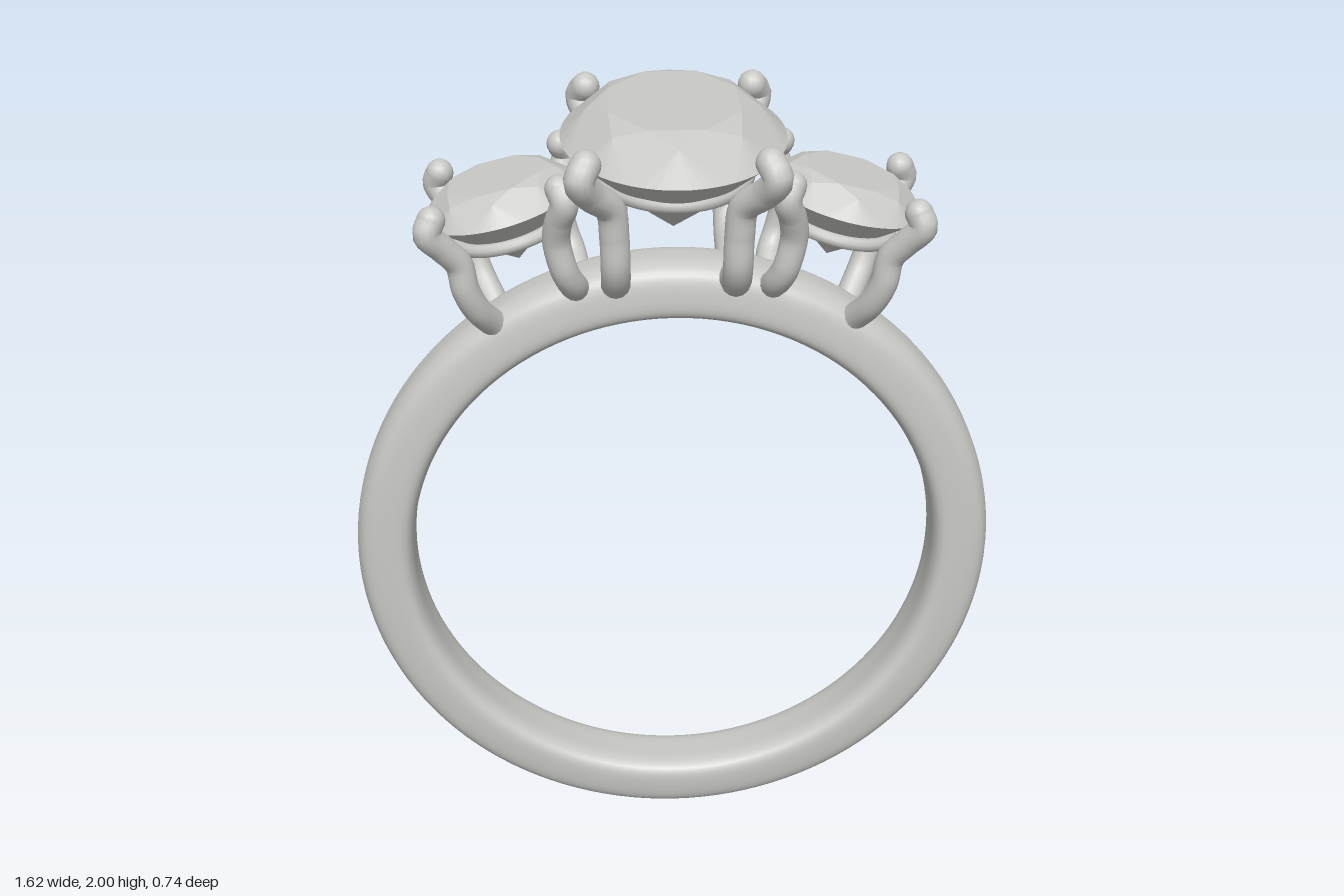
import * as THREE from 'three';

const metal = new THREE.MeshStandardMaterial({ color: 0xc8c8c4 });
metal.name = 'polished metal';
const gem = new THREE.MeshStandardMaterial({ color: 0xc9c9c6, flatShading: true });
gem.name = 'cut stone';

function add(parent, name, geometry, material) {
  const mesh = new THREE.Mesh(geometry, material);
  mesh.name = name;
  parent.add(mesh);
  return mesh;
}

// D-shaped band, slightly wider at the top than at the bottom
function bandGeometry() {
  const half = [[0.666, 0], [0.668, 0.055], [0.688, 0.086], [0.735, 0.088], [0.785, 0.076], [0.807, 0.042], [0.811, 0]];
  const profile = half.map(([r, w]) => new THREE.Vector2(r, -w));
  for (let i = half.length - 2; i >= 0; i--) profile.push(new THREE.Vector2(half[i][0], half[i][1]));
  const geo = new THREE.LatheGeometry(new THREE.SplineCurve(profile).getPoints(48), 128);
  geo.rotateX(Math.PI / 2);
  const p = geo.attributes.position;
  for (let i = 0; i < p.count; i++) p.setZ(i, p.getZ(i) * (0.985 + 0.085 * p.getY(i)));
  geo.translate(0, 0.811, 0);
  geo.computeBoundingSphere();
  return geo;
}

// Eight-fold brilliant cut on an oval, with the girdle at y = 0
function stoneGeometry(rx, rz, crown, depth) {
  const out = [];
  const at = (step, r, y) => {
    const a = step * Math.PI / 4;
    return new THREE.Vector3(rx * r * Math.cos(a), y, rz * r * Math.sin(a));
  };
  const tri = (a, b, c) => {
    const n = b.clone().sub(a).cross(c.clone().sub(a));
    const outward = n.dot(a.clone().add(b).add(c)) > 0;
    for (const v of outward ? [a, b, c] : [a, c, b]) out.push(v.x, v.y, v.z);
  };
  const table = k => at(k + 0.5, 0.62, crown);
  const star = k => at(k, 0.77, crown * 0.76);
  const lower = k => at(k, 0.3, -depth * 0.72);
  const girdle = s => at(s, 1, 0);
  const centre = new THREE.Vector3(0, crown, 0);
  const culet = new THREE.Vector3(0, -depth, 0);
  for (let k = 0; k < 8; k++) {
    tri(centre, table(k), table(k + 1));
    tri(star(k), table(k - 1), table(k));
    tri(table(k), star(k), girdle(k + 0.5));
    tri(table(k), girdle(k + 0.5), star(k + 1));
    tri(culet, lower(k), girdle(k + 0.5));
    tri(culet, girdle(k + 0.5), lower(k + 1));
    // Narrow facets that meet the rounded girdle
    for (let j = -4; j < 4; j++) {
      const a = girdle(k + j / 8), b = girdle(k + (j + 1) / 8);
      tri(star(k), a, b);
      tri(lower(k), a, b);
    }
  }
  const geo = new THREE.BufferGeometry();
  geo.setAttribute('position', new THREE.Float32BufferAttribute(out, 3));
  geo.computeVertexNormals();
  return geo;
}

// Oval support wire below a stone
function railGeometry(rx, rz, radius) {
  const pts = [];
  for (let i = 0; i < 24; i++) {
    const a = i * Math.PI / 12;
    pts.push(new THREE.Vector3(rx * Math.cos(a), 0, rz * Math.sin(a)));
  }
  return new THREE.TubeGeometry(new THREE.CatmullRomCurve3(pts, true), 64, radius, 10, true);
}

// Round-ended claw following a path, mirrored by the signs sx and sz
function addProng(parent, name, path, radius, sx, sz) {
  const prong = new THREE.Group();
  prong.name = name;
  const pts = path.map(([x, y, z]) => new THREE.Vector3(x * sx, y, z * sz));
  add(prong, 'claw', new THREE.TubeGeometry(new THREE.CatmullRomCurve3(pts), 40, radius, 14), metal);
  for (const [end, label] of [[pts[0], 'clawTip'], [pts[pts.length - 1], 'clawFoot']]) {
    add(prong, label, new THREE.SphereGeometry(radius, 14, 10), metal).position.copy(end);
  }
  parent.add(prong);
}

const CENTRE_PRONG = [[0.203, 1.945, 0.275], [0.218, 1.915, 0.297], [0.195, 1.87, 0.262], [0.15, 1.82, 0.217],
  [0.142, 1.75, 0.208], [0.14, 1.67, 0.203], [0.14, 1.615, 0.16], [0.14, 1.585, 0.06]];
const OUTER_PRONG = [[0.557, 1.775, 0.155], [0.568, 1.745, 0.165], [0.535, 1.70, 0.145], [0.502, 1.655, 0.127],
  [0.49, 1.59, 0.125], [0.467, 1.53, 0.105], [0.435, 1.475, 0.06]];
const INNER_PRONG = [[0.265, 1.845, 0.15], [0.253, 1.815, 0.165], [0.268, 1.765, 0.145], [0.275, 1.71, 0.127],
  [0.258, 1.63, 0.122], [0.242, 1.59, 0.10], [0.232, 1.56, 0.06]];

export function createModel() {
  const ring = new THREE.Group();
  ring.name = 'threeStoneRing';
  add(ring, 'band', bandGeometry(), metal);

  // Large oval stone in the middle
  const centre = new THREE.Group();
  centre.name = 'centreSetting';
  add(centre, 'centreStone', stoneGeometry(0.263, 0.37, 0.08, 0.23), gem).position.y = 1.92;
  add(centre, 'centreRail', railGeometry(0.175, 0.24, 0.018), metal).position.y = 1.835;
  for (const sx of [1, -1]) for (const sz of [1, -1]) addProng(centre, 'centreProng', CENTRE_PRONG, 0.035, sx, sz);
  ring.add(centre);

  // Smaller round stones leaning outwards on each side
  for (const s of [1, -1]) {
    const side = new THREE.Group();
    side.name = s > 0 ? 'leftSetting' : 'rightSetting';
    const head = new THREE.Group();
    head.name = 'sideHead';
    head.position.set(s * 0.405, 1.765, 0);
    head.rotation.z = -s * 0.245;
    add(head, 'sideStone', stoneGeometry(0.192, 0.192, 0.058, 0.155), gem);
    add(head, 'sideRail', railGeometry(0.132, 0.132, 0.016), metal).position.y = -0.07;
    side.add(head);
    for (const sz of [1, -1]) {
      addProng(side, 'outerProng', OUTER_PRONG, 0.033, s, sz);
      addProng(side, 'innerProng', INNER_PRONG, 0.033, s, sz);
    }
    ring.add(side);
  }
  return ring;
}
